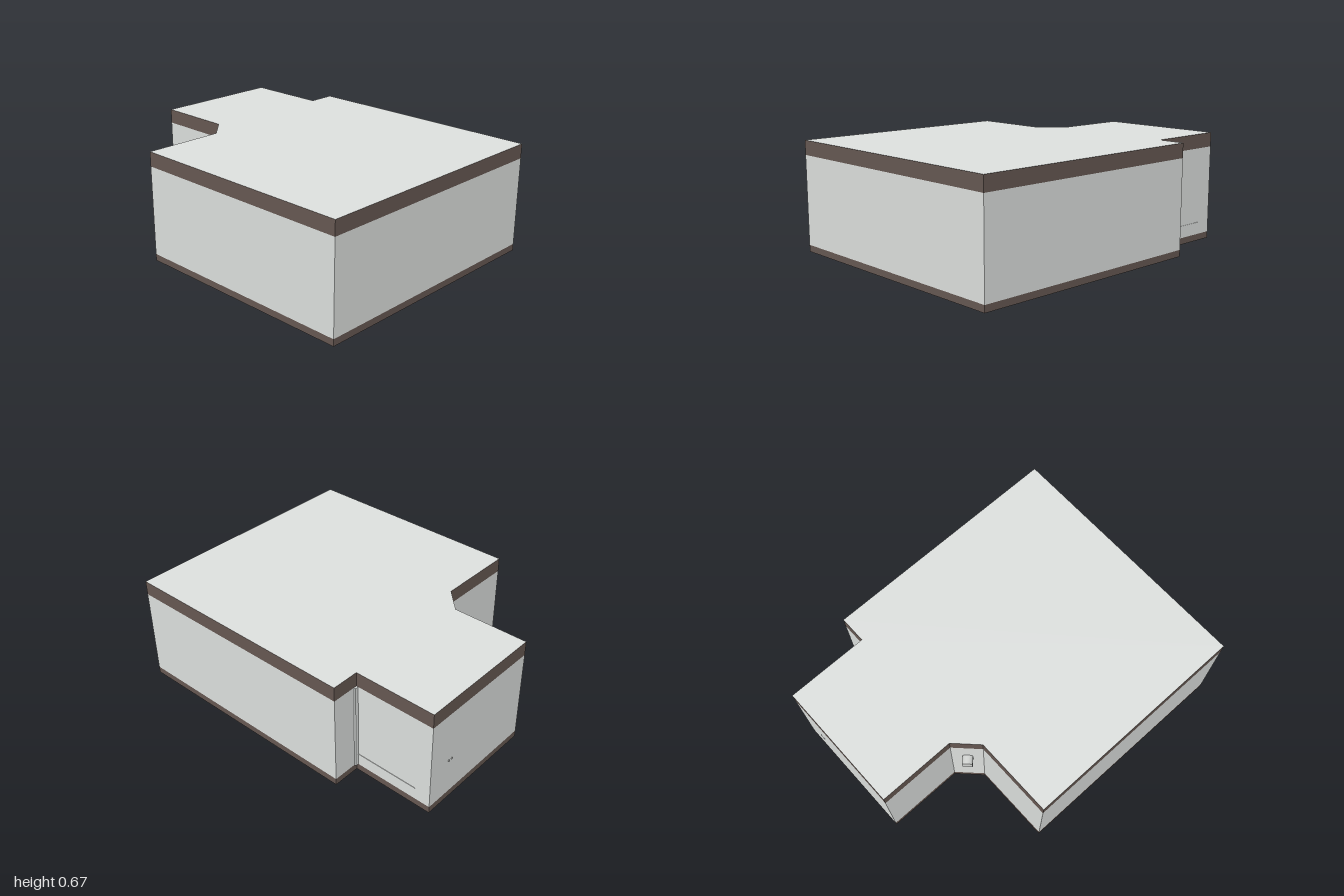
import * as THREE from 'three';

const mat = (name, color) => {
  const m = new THREE.MeshStandardMaterial({ color });
  m.name = name;
  return m;
};

export function createModel() {
  const room = new THREE.Group();
  room.name = 'room';

  const wall = mat('wall grey', 0xdfe2e0);
  const trim = mat('dark brown trim', 0x675953);
  const floor = mat('floor brown', 0xc59767);
  const grey = mat('furniture grey', 0xc8c9ca);
  const dark = mat('dark fabric', 0x4c4745);
  const yellow = mat('mustard', 0xe2bd3e);
  const fixtureGrey = mat('fixture grey', 0xd4d6d4);

  // Extrudes a plan outline of [x, z] points upward from y0 to y1
  function slab(name, points, y0, y1, cap, side = cap) {
    const shape = new THREE.Shape(points.map(([x, z]) => new THREE.Vector2(x, -z)));
    const geo = new THREE.ExtrudeGeometry(shape, { depth: y1 - y0, bevelEnabled: false });
    geo.rotateX(-Math.PI / 2);
    const mesh = new THREE.Mesh(geo, [cap, side]);
    mesh.name = name;
    mesh.position.y = y0;
    room.add(mesh);
  }

  function box(name, size, pos, material) {
    const mesh = new THREE.Mesh(new THREE.BoxGeometry(...size), material);
    mesh.name = name;
    mesh.position.set(...pos);
    room.add(mesh);
  }

  // Room plan with a narrower bay at the back and one chamfered inner corner
  const plan = [
    [-0.79, 1], [0.787, 1], [0.787, -0.497], [0.62, -0.497], [0.62, -0.997],
    [-0.175, -0.997], [-0.175, -0.53], [-0.305, -0.4], [-0.79, -0.4],
  ];
  slab('floorAndSkirting', plan, 0.0015, 0.042, floor, trim);
  slab('walls', plan, 0.042, 0.58, wall);
  slab('ceilingAndCornice', plan, 0.58, 0.667, wall, trim);

  // Furniture bases showing through the underside of the floor
  slab('counterBase', [
    [0.28, -0.255], [0.27, -0.495], [-0.15, -0.45], [-0.29, -0.395],
    [-0.26, -0.28], [-0.08, -0.23], [0.06, -0.17], [0.18, -0.18],
  ], 0.0007, 0.002, grey);
  const rug = [];
  for (let i = 0; i < 16; i++) {
    const a = (i / 16) * Math.PI * 2;
    rug.push([0.015 + 0.12 * Math.cos(a), -0.1 + 0.055 * Math.sin(a)]);
  }
  slab('rugUnderside', rug, 0, 0.002, yellow);
  box('sideBenchBase', [0.1, 0.002, 0.37], [0.55, 0.001, -0.715], dark);
  box('sideBenchEdge', [0.012, 0.002, 0.37], [0.494, 0.001, -0.715], grey);
  box('backBenchBase', [0.46, 0.002, 0.085], [-0.54, 0.001, -0.335], dark);
  box('backBenchEdge', [0.46, 0.002, 0.012], [-0.54, 0.001, -0.287], grey);

  // Thin rail on the bay's outer wall, and the post in the inner corner
  box('sideRail', [0.003, 0.005, 0.4], [0.621, 0.115, -0.7], wall);
  box('cornerPost', [0.02, 0.538, 0.012], [0.63, 0.311, -0.503], wall);

  // Pair of small pegs on the back wall
  for (const x of [0.445, 0.47]) {
    const peg = new THREE.Mesh(new THREE.CylinderGeometry(0.007, 0.007, 0.006, 12), fixtureGrey);
    peg.name = 'wallPeg';
    peg.rotation.x = Math.PI / 2;
    peg.position.set(x, 0.265, -0.997);
    room.add(peg);
  }

  // Arched fixture on the chamfered corner, facing outward
  const arch = new THREE.Shape();
  arch.moveTo(-0.03, 0);
  arch.lineTo(0.03, 0);
  arch.lineTo(0.03, 0.042);
  arch.absellipse(0, 0.042, 0.03, 0.022, 0, Math.PI, false);
  arch.closePath();
  const fixture = new THREE.Mesh(
    new THREE.ExtrudeGeometry(arch, { depth: 0.066, bevelEnabled: false, curveSegments: 10 }), fixtureGrey);
  fixture.name = 'cornerFixture';
  fixture.position.set(-0.231, 0.378, -0.454);
  fixture.rotation.y = -Math.PI * 0.75;
  room.add(fixture);

  return room;
}
